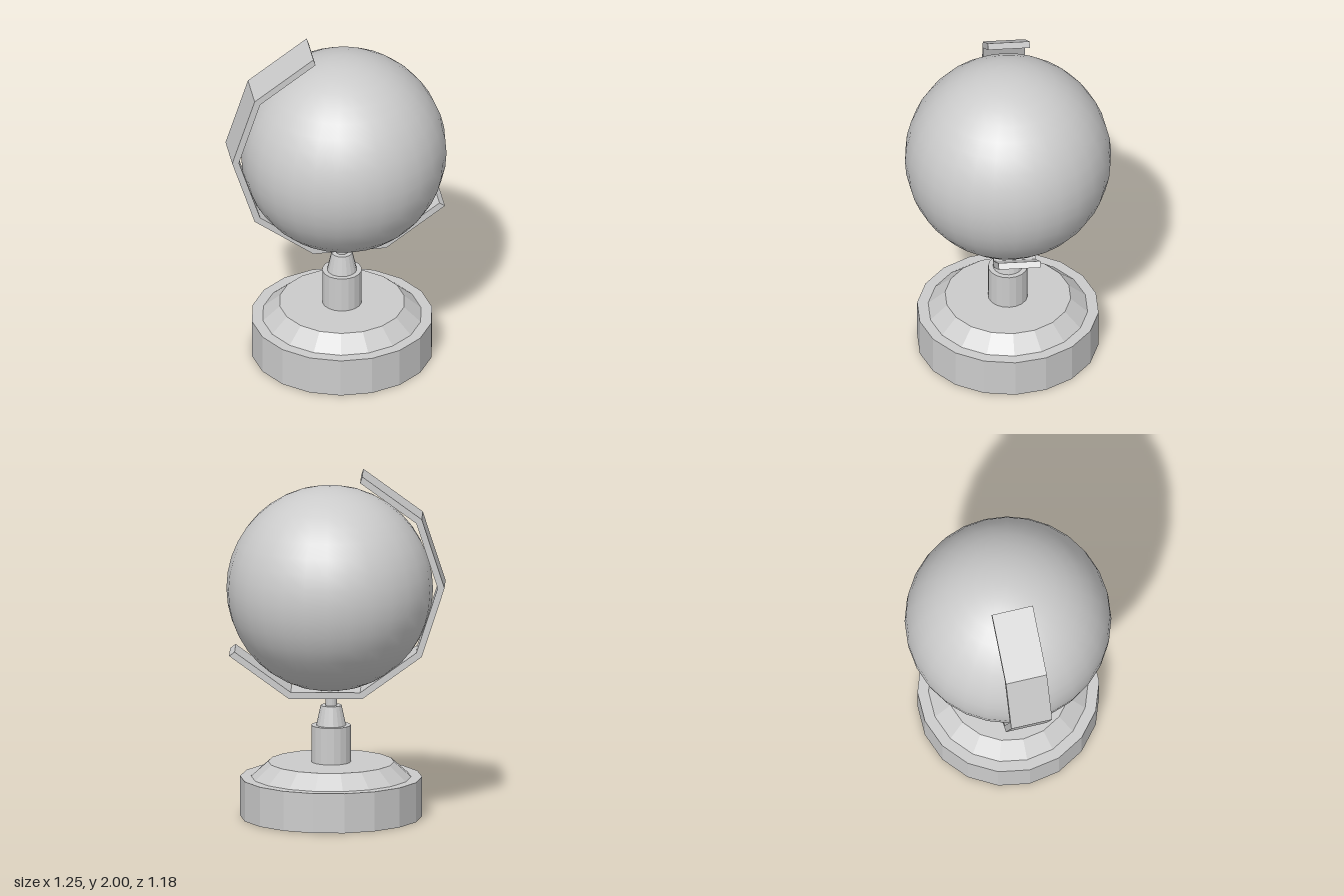
import * as THREE from 'three';

export function createModel() {
  const group = new THREE.Group();
  const flat = new THREE.MeshStandardMaterial({ color: 0xcccccc, flatShading: true });
  const smooth = new THREE.MeshStandardMaterial({ color: 0xcccccc });
  const add = (name, geometry, material = flat) => {
    const mesh = new THREE.Mesh(geometry, material);
    mesh.name = name;
    group.add(mesh);
    return mesh;
  };

  // Stacked stand pieces: name, bottom radius, top radius, bottom y, top y
  const stand = [
    ['base', 0.52, 0.52, 0, 0.23],
    ['baseChamfer', 0.457, 0.36, 0.23, 0.317],
    ['stem', 0.113, 0.113, 0.317, 0.53],
    ['stemTaper', 0.085, 0.06, 0.53, 0.645],
    ['pin', 0.033, 0.033, 0.645, 0.735],
  ];
  for (const [name, r0, r1, y0, y1] of stand) {
    const part = add(name, new THREE.CylinderGeometry(r1, r0, y1 - y0, 18));
    part.rotation.y = Math.PI / 2;
    part.position.set(0.026, (y0 + y1) / 2, 0);
  }

  // Globe
  add('globe', new THREE.SphereGeometry(0.59, 28, 20), smooth).position.set(0.034, 1.325, 0);

  // Faceted cradle arm: seven corners of a ten-sided ring, 108 to 324 degrees
  const corner = (r, i) => {
    const a = THREE.MathUtils.degToRad(108 + 36 * i);
    return new THREE.Vector2(0.055 + r * Math.cos(a), 1.354 + r * Math.sin(a));
  };
  const outline = [];
  for (let i = 0; i <= 6; i++) outline.push(corner(0.68, i));
  for (let i = 6; i >= 0; i--) outline.push(corner(0.641, i));
  const arm = new THREE.ExtrudeGeometry(new THREE.Shape(outline), { depth: 0.24, bevelEnabled: false });
  add('cradleArm', arm).position.z = -0.14;

  return group;
}
